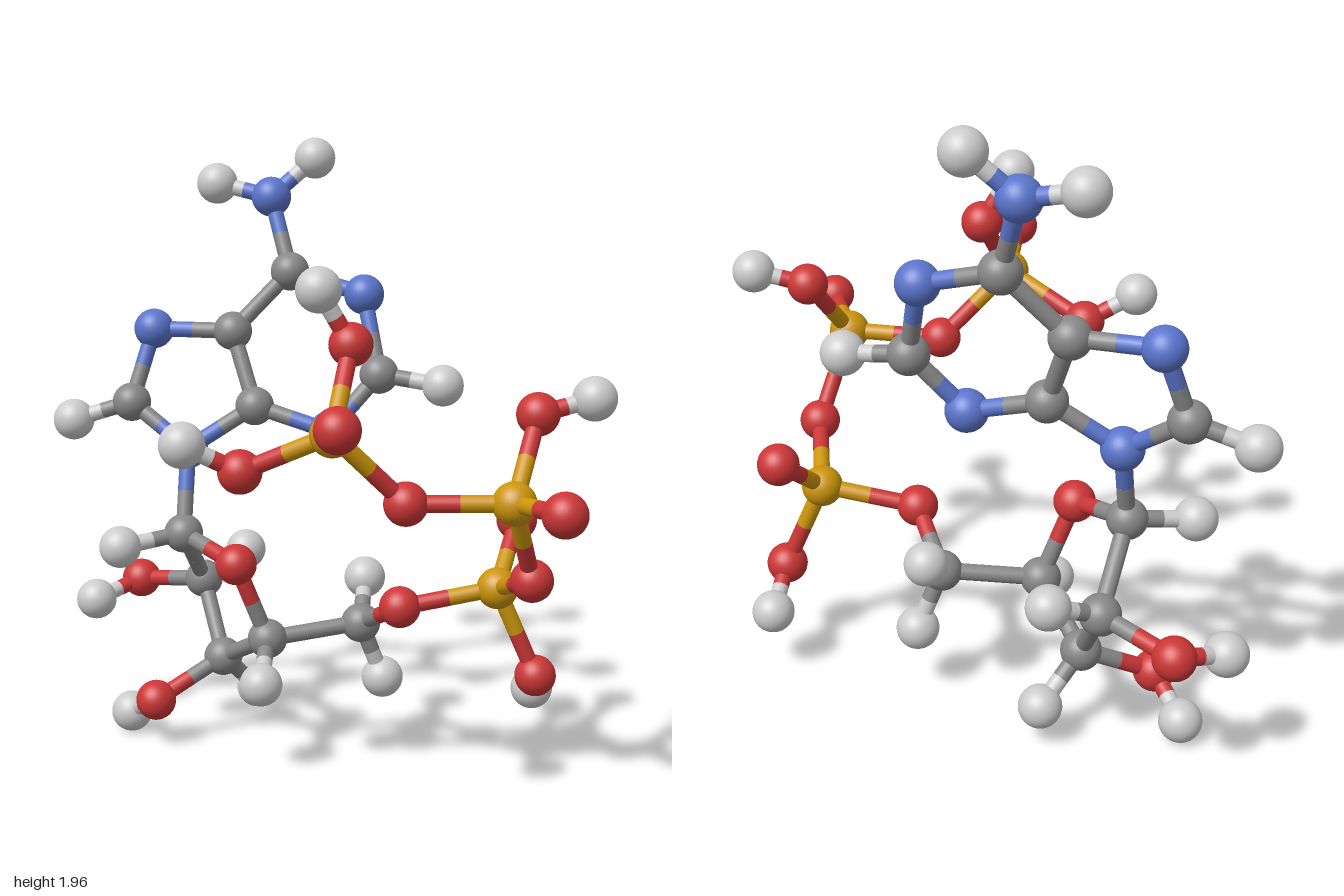
import * as THREE from 'three';

const material = (name, color) => {
  const m = new THREE.MeshStandardMaterial({ color });
  m.name = name;
  return m;
};

// Atom centres: the first letter of each key is the element
const ATOMS = {
  // double ring with its amine
  N6: [-0.535, 1.768, -0.32], H61: [-0.443, 1.893, -0.432], H62: [-0.697, 1.81, -0.23],
  C6: [-0.432, 1.53, -0.3], N1: [-0.212, 1.46, -0.418], C2: [-0.12, 1.21, -0.388],
  H2: [0.062, 1.18, -0.492], N3: [-0.215, 1.03, -0.253], C4: [-0.432, 1.103, -0.132],
  C5: [-0.545, 1.338, -0.146], N7: [-0.766, 1.341, 0], C8: [-0.781, 1.105, 0.09],
  H8: [-0.932, 1.045, 0.212], N9: [-0.583, 0.965, 0.025],
  // sugar ring
  C1s: [-0.538, 0.7, 0.092], H1s: [-0.627, 0.673, 0.287], O4s: [-0.275, 0.643, 0.113],
  C4s: [-0.232, 0.39, 0.018], H4s: [-0.12, 0.293, 0.162], C3s: [-0.485, 0.27, -0.03],
  H3s: [-0.481, 0.13, -0.184], O3s: [-0.57, 0.153, 0.195], H3o: [-0.732, 0.071, 0.158],
  C2s: [-0.647, 0.495, -0.1], H2s: [-0.622, 0.57, -0.275], O2s: [-0.911, 0.46, -0.053],
  H2o: [-0.935, 0.416, 0.13], C5s: [-0.058, 0.424, -0.234], H51: [-0.157, 0.535, -0.365],
  H52: [-0.029, 0.233, -0.308], O5s: [0.17, 0.532, -0.16],
  // phosphate chain
  Pa: [0.379, 0.587, -0.382], O1a: [0.293, 0.758, -0.59], O2a: [0.464, 0.302, -0.473],
  Ha: [0.361, 0.212, -0.595], Oab: [0.625, 0.683, -0.226],
  Pb: [0.675, 0.947, -0.067], O1b: [0.932, 0.97, 0.047], O2b: [0.608, 1.175, -0.263],
  Hb: [0.715, 1.217, -0.395], Obg: [0.442, 0.945, 0.137],
  Pg: [0.348, 1.16, 0.345], O1g: [0.545, 1.22, 0.54], O2g: [0.255, 1.389, 0.165],
  H2g: [0.208, 1.549, 0.25], O3g: [0.09, 1.037, 0.453], H3g: [0.002, 1.122, 0.595],
};

// Chains of bonded atoms
const CHAINS = [
  'H61 N6 C6 N1 C2 N3 C4 C5 C6', 'H62 N6', 'C2 H2', 'C5 N7 C8 N9 C4', 'C8 H8',
  'N9 C1s O4s C4s C3s C2s C1s H1s', 'C4s H4s', 'H3s C3s O3s H3o', 'H2s C2s O2s H2o',
  'C4s C5s O5s Pa Oab Pb Obg Pg O1g', 'H51 C5s H52',
  'O1a Pa O2a Ha', 'O1b Pb O2b Hb', 'Pg O2g H2g', 'Pg O3g H3g',
];

export function createModel() {
  const elements = {
    C: { name: 'carbon', radius: 0.063, mat: material('carbon grey', 0x888888) },
    N: { name: 'nitrogen', radius: 0.065, mat: material('nitrogen blue', 0x5a75cc) },
    O: { name: 'oxygen', radius: 0.065, mat: material('oxygen red', 0xcc3636) },
    H: { name: 'hydrogen', radius: 0.067, mat: material('hydrogen white', 0xcccccc) },
    P: { name: 'phosphorus', radius: 0.065, mat: material('phosphorus gold', 0xcc950a) },
  };
  const model = new THREE.Group();
  model.name = 'molecule';
  const atoms = new THREE.Group();
  atoms.name = 'atoms';
  const bonds = new THREE.Group();
  bonds.name = 'bonds';
  model.add(atoms, bonds);

  // Atoms
  const ball = new THREE.SphereGeometry(1, 32, 20);
  for (const [key, p] of Object.entries(ATOMS)) {
    const e = elements[key[0]];
    const mesh = new THREE.Mesh(ball, e.mat);
    mesh.name = `${e.name}Atom`;
    mesh.scale.setScalar(e.radius);
    mesh.position.set(...p);
    atoms.add(mesh);
  }

  // Each bond is two half rods, coloured like the atom they touch
  const rod = new THREE.CylinderGeometry(0.026, 0.026, 1, 20, 1, true);
  const up = new THREE.Vector3(0, 1, 0);
  const halfBond = (from, to) => {
    const a = new THREE.Vector3(...ATOMS[from]);
    const d = new THREE.Vector3(...ATOMS[to]).sub(a);
    const e = elements[from[0]];
    const mesh = new THREE.Mesh(rod, e.mat);
    mesh.name = `${e.name}HalfBond`;
    mesh.scale.y = d.length() / 2;
    mesh.position.copy(a).addScaledVector(d, 0.25);
    mesh.quaternion.setFromUnitVectors(up, d.normalize());
    bonds.add(mesh);
  };
  for (const chain of CHAINS) {
    const keys = chain.split(' ');
    for (let i = 1; i < keys.length; i++) {
      halfBond(keys[i - 1], keys[i]);
      halfBond(keys[i], keys[i - 1]);
    }
  }
  return model;
}
